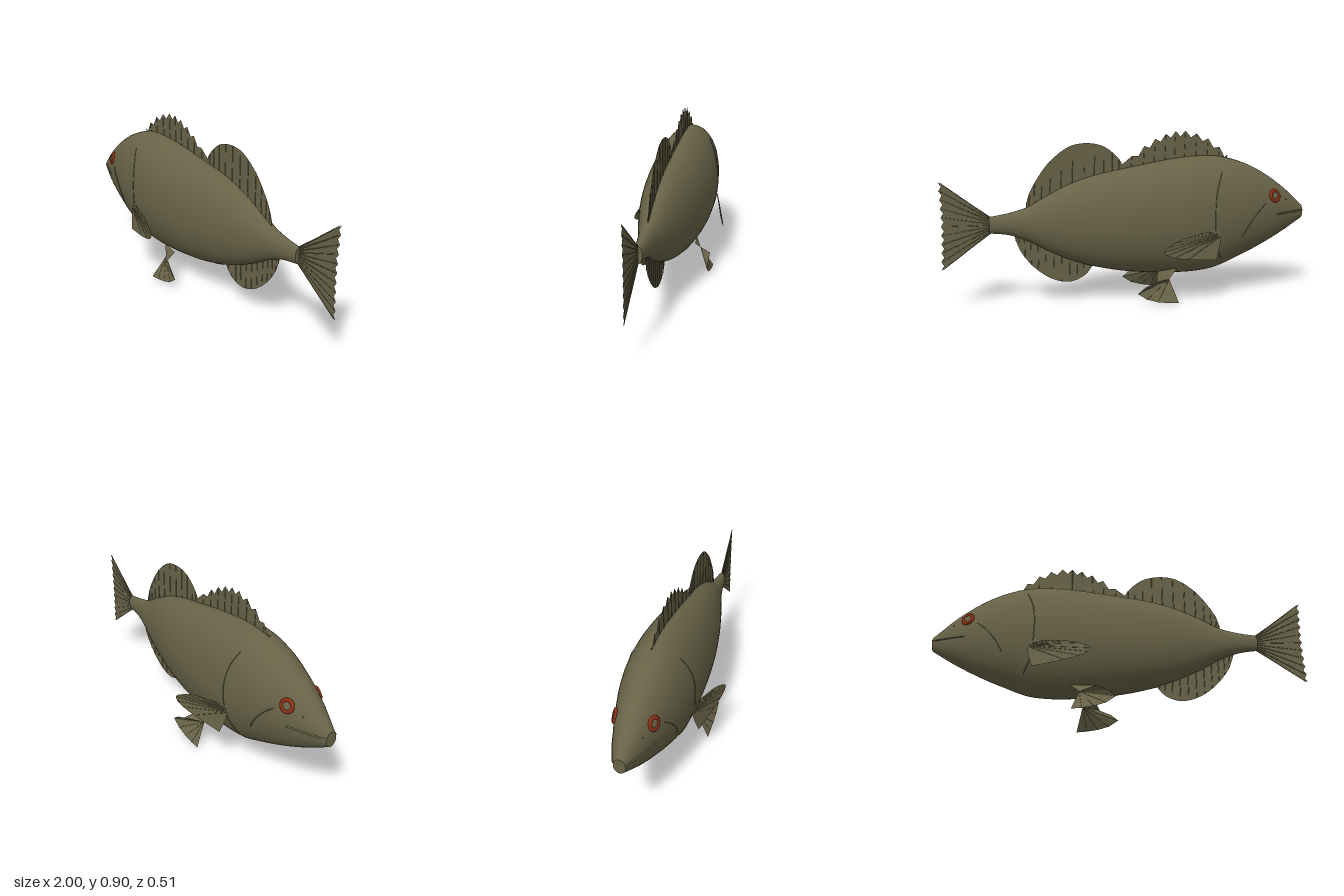
import * as THREE from 'three';

const mat = (name, color, side = THREE.FrontSide) => {
  const m = new THREE.MeshStandardMaterial({ color, side });
  m.name = name;
  return m;
};

// Body cross-sections: x, top, bottom, half width
const STATIONS = [
  [-1, 0.485, 0.405, 0.03], [-0.87, 0.598, 0.325, 0.082], [-0.73, 0.69, 0.252, 0.124],
  [-0.6, 0.745, 0.195, 0.155], [-0.46, 0.772, 0.143, 0.174], [-0.27, 0.763, 0.129, 0.18],
  [0, 0.718, 0.148, 0.164], [0.2, 0.678, 0.187, 0.135], [0.33, 0.635, 0.23, 0.108],
  [0.45, 0.577, 0.285, 0.078], [0.55, 0.522, 0.34, 0.052], [0.65, 0.493, 0.377, 0.034],
  [0.75, 0.476, 0.39, 0.023],
];

// Smooth interpolation of the cross-sections at any x
function bodyAt(x) {
  const S = STATIONS, n = S.length;
  let i = 0;
  while (i < n - 2 && x > S[i + 1][0]) i++;
  const d = S[i + 1][0] - S[i][0];
  const t = THREE.MathUtils.clamp((x - S[i][0]) / d, 0, 1);
  const slope = (k, c) => {
    const a = S[Math.max(k - 1, 0)], b = S[Math.min(k + 1, n - 1)];
    return (b[c] - a[c]) / (b[0] - a[0]);
  };
  const [top, bottom, width] = [1, 2, 3].map((c) => {
    const t2 = t * t, t3 = t2 * t;
    return (2 * t3 - 3 * t2 + 1) * S[i][c] + (t3 - 2 * t2 + t) * d * slope(i, c)
      + (3 * t2 - 2 * t3) * S[i + 1][c] + (t3 - t2) * d * slope(i + 1, c);
  });
  return { top, bottom, width, mid: (top + bottom) / 2, half: (top - bottom) / 2 };
}

// Half width of the body surface at a point seen from the side
function skinZ(x, y) {
  const b = bodyAt(x);
  return b.width * Math.sqrt(Math.max(0, 1 - ((y - b.mid) / b.half) ** 2));
}

function bodyGeometry(nx = 70, na = 48) {
  const pos = [], idx = [];
  for (let i = 0; i <= nx; i++) {
    const x = -1 + (1.75 * i) / nx, b = bodyAt(x);
    for (let j = 0; j < na; j++) {
      const a = (j / na) * Math.PI * 2;
      pos.push(x, b.mid + b.half * Math.cos(a), b.width * Math.sin(a));
      if (i < nx) {
        const p = i * na + j, q = i * na + ((j + 1) % na);
        idx.push(p, q, p + na, q, q + na, p + na);
      }
    }
  }
  const g = new THREE.BufferGeometry();
  g.setAttribute('position', new THREE.Float32BufferAttribute(pos, 3));
  g.setIndex(idx);
  g.computeVertexNormals();
  return g;
}

const v2 = (p) => new THREE.Vector2(p[0], p[1]);
const smooth = (pts, n) => new THREE.SplineCurve(pts.map(v2)).getPoints(n);

// Flat fin from an outline, with z given by a rule
function finGeometry(outline, zRule = () => 0) {
  const g = new THREE.ShapeGeometry(new THREE.Shape(outline));
  const p = g.attributes.position;
  for (let i = 0; i < p.count; i++) p.setZ(i, zRule(p.getX(i), p.getY(i)));
  g.computeVertexNormals();
  return g;
}

export function createModel() {
  const model = new THREE.Group();
  model.name = 'fish';
  const skin = mat('olive skin', 0x686347);
  const finMat = mat('olive fin', 0x686347, THREE.DoubleSide);
  const iris = mat('red iris', 0x8a2f14);
  const add = (name, geometry, material, parent = model) => {
    const m = new THREE.Mesh(geometry, material);
    m.name = name;
    parent.add(m);
    return m;
  };
  const ray = (a, b, parent, r = 0.003) => {
    const from = new THREE.Vector3(...a), to = new THREE.Vector3(...b);
    const d = to.clone().sub(from);
    const m = add('finRay', new THREE.CylinderGeometry(r * 0.6, r, d.length(), 5), skin, parent);
    m.position.copy(from).addScaledVector(d, 0.5);
    m.quaternion.setFromUnitVectors(new THREE.Vector3(0, 1, 0), d.normalize());
  };
  const part = (name) => {
    const g = new THREE.Group();
    g.name = name;
    model.add(g);
    return g;
  };

  // Body with closed snout and tail root
  add('body', bodyGeometry(), skin);
  for (const [x, turn, name] of [[-1, -1, 'snoutCap'], [0.75, 1, 'tailRootCap']]) {
    const b = bodyAt(x), cap = add(name, new THREE.CircleGeometry(1, 48), skin);
    cap.scale.set(b.width, b.half, 1);
    cap.rotation.y = (turn * Math.PI) / 2;
    cap.position.set(x, b.mid, 0);
  }

  // Spiny front dorsal fin with a saw-tooth rim
  const spiny = part('spinyDorsalFin');
  const rim = smooth([[-0.555, 0.775], [-0.44, 0.865], [-0.31, 0.908], [-0.2, 0.893],
    [-0.08, 0.83], [0.04, 0.735]], 20);
  rim.forEach((p, i) => {
    if (i % 2 && i < 19) p.y -= 0.03;
    else if (i > 1 && i < 19) ray([p.x + 0.005, bodyAt(p.x).top - 0.02, 0], [p.x, p.y - 0.005, 0], spiny);
  });
  add('spinyWeb', finGeometry([...rim, v2([0.04, 0.66]), v2([-0.3, 0.7]), v2([-0.53, 0.7])]), finMat, spiny);

  // Rounded soft dorsal fin and anal fin
  const lobes = [
    ['softDorsalFin', 'top', [[0.03, 0.715], [0.07, 0.775], [0.14, 0.83], [0.23, 0.85], [0.33, 0.832],
      [0.43, 0.757], [0.5, 0.665], [0.545, 0.58], [0.56, 0.505]], [[0.4, 0.56], [0.06, 0.65]]],
    ['analFin', 'bottom', [[0.2, 0.2], [0.25, 0.138], [0.335, 0.107], [0.43, 0.13], [0.52, 0.195],
      [0.59, 0.285], [0.625, 0.38]], [[0.45, 0.32], [0.24, 0.24]]],
  ];
  for (const [name, edge, pts, root] of lobes) {
    const g = part(name), curve = smooth(pts, 40);
    add('web', finGeometry([...curve, ...root.map(v2)]), finMat, g);
    for (let i = 4; i < 38; i += 3) ray([curve[i].x, bodyAt(curve[i].x)[edge], 0], [curve[i].x, curve[i].y, 0], g);
  }

  // Fan-shaped tail fin with a fine notched edge
  const tail = part('tailFin');
  const tailRim = [];
  for (let i = 0; i <= 20; i++) {
    const t = i / 20, bow = 0.008 * Math.sin(Math.PI * t);
    tailRim.push(v2([(i % 2 ? 0.986 : 1) - bow, 0.665 - 0.46 * t]));
    if (i % 2 === 0) ray([0.745, 0.472 - 0.08 * t, 0], [0.99 - bow, 0.662 - 0.454 * t, 0], tail);
  }
  add('tailWeb', finGeometry([v2([0.74, 0.476]), ...tailRim, v2([0.74, 0.39])]), finMat, tail);

  for (const s of [1, -1]) {
    const side = part(s > 0 ? 'leftSide' : 'rightSide');

    // Pectoral fin, swept outward
    const z = (x, y) => s * (0.255 + 0.23 * (x + 0.125) - 0.149 * (y - 0.3));
    const pecRim = smooth([[-0.465, 0.387], [-0.36, 0.378], [-0.24, 0.358], [-0.16, 0.328], [-0.125, 0.3],
      [-0.155, 0.273], [-0.25, 0.25], [-0.43, 0.23]], 30);
    add('pectoralFin', finGeometry([...pecRim, v2([-0.455, 0.31])], z), finMat, side);
    for (let i = 5; i < 29; i += 3) {
      const p = pecRim[i], y0 = 0.375 - 0.03 * (i / 30);
      ray([-0.45, y0, z(-0.45, y0)], [p.x, p.y, z(p.x, p.y)], side, 0.0022);
    }

    // Pelvic fin: narrow root opening into a fan
    const apex = [-0.19, 0.12, s * 0.12];
    const fan = [[-0.225, 0.003], [-0.17, 0.007], [-0.11, 0.016], [-0.05, 0.034], [0, 0.068],
      [-0.04, 0.1], [-0.1, 0.126]].map((p) => [...p, s * 0.19]);
    const loop = [...fan, [-0.13, 0.162, s * 0.1], [-0.245, 0.17, s * 0.085]];
    const tris = [];
    for (let i = 0; i < loop.length - 1; i++) tris.push(...apex, ...loop[i], ...loop[i + 1]);
    const pelvic = new THREE.BufferGeometry();
    pelvic.setAttribute('position', new THREE.Float32BufferAttribute(tris, 3));
    pelvic.computeVertexNormals();
    add('pelvicFin', pelvic, finMat, side);
    fan.slice(1, 5).forEach((p) => ray(apex, p, side, 0.0018));

    // Gill cover, cheek and mouth ridges following the skin
    const lines = {
      gillRidge: [[-0.48, 0.69], [-0.445, 0.6], [-0.43, 0.5], [-0.433, 0.38], [-0.45, 0.29], [-0.485, 0.22]],
      cheekRidge: [[-0.74, 0.515], [-0.69, 0.47], [-0.64, 0.41], [-0.6, 0.34]],
      mouthRidge: [[-1, 0.455], [-0.93, 0.452], [-0.87, 0.45], [-0.81, 0.447]],
    };
    for (const [name, pts] of Object.entries(lines)) {
      const path = smooth(pts, 24).map((p) => new THREE.Vector3(p.x, p.y, s * skinZ(p.x, p.y)));
      const r = name === 'mouthRidge' ? 0.005 : 0.0025;
      add(name, new THREE.TubeGeometry(new THREE.CatmullRomCurve3(path), 40, r, 6), skin, side);
    }

    // Eye with a raised red ring, and a nostril
    const [ex, ey, e] = [-0.8, 0.55, 0.005];
    const normal = new THREE.Vector3(
      -(skinZ(ex + e, ey) - skinZ(ex - e, ey)) / (2 * e),
      -(skinZ(ex, ey + e) - skinZ(ex, ey - e)) / (2 * e), 1).normalize();
    normal.z *= s;
    const eye = new THREE.Group();
    eye.name = 'eye';
    eye.position.set(ex, ey, s * skinZ(ex, ey));
    eye.quaternion.setFromUnitVectors(new THREE.Vector3(0, 0, 1), normal);
    side.add(eye);
    add('irisRing', new THREE.TorusGeometry(0.028, 0.01, 10, 28), iris, eye);
    add('eyeball', new THREE.SphereGeometry(0.024, 20, 12), skin, eye).scale.z = 0.4;
    add('nostril', new THREE.SphereGeometry(0.004, 8, 6), skin, side)
      .position.set(-0.88, 0.525, s * skinZ(-0.88, 0.525));
  }
  return model;
}
